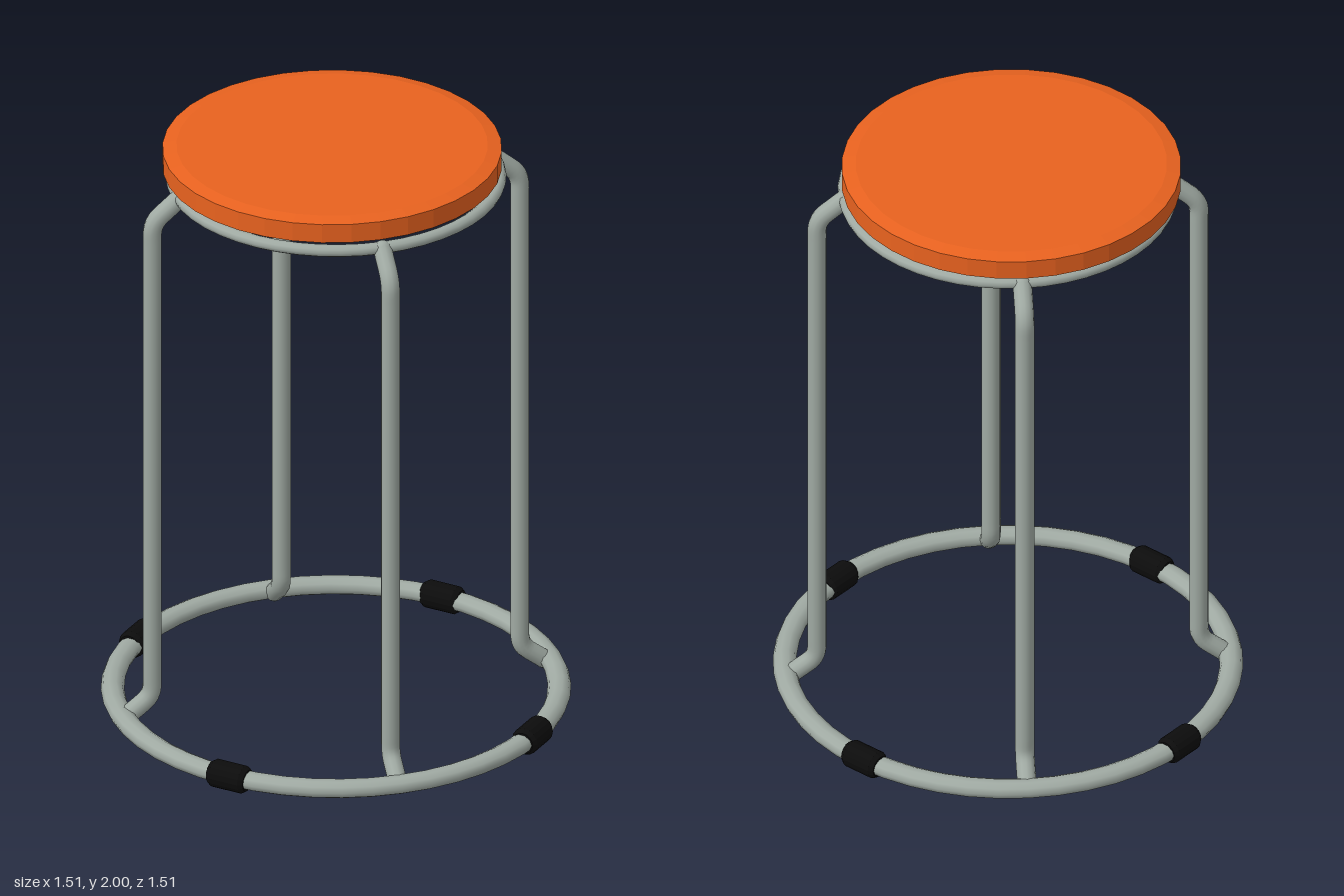
import * as THREE from 'three';

export function createModel() {
  const model = new THREE.Group();
  const orange = new THREE.MeshStandardMaterial({ color: 0xe8621f, flatShading: true });
  const steel = new THREE.MeshStandardMaterial({ color: 0xa0aaa3 });
  const rubber = new THREE.MeshStandardMaterial({ color: 0x0c0c0c });

  const add = (name, geometry, material, parent = model) => {
    const mesh = new THREE.Mesh(geometry, material);
    mesh.name = name;
    parent.add(mesh);
    return mesh;
  };
  const lathe = (points, segments) =>
    new THREE.LatheGeometry(points.map(([x, y]) => new THREE.Vector2(x, y)), segments);

  // Round seat with a shallow bevel, sitting slightly off centre
  const seat = add('seat', lathe([[0, 1.925], [0.545, 1.925], [0.545, 1.99], [0.5, 2], [0, 2]], 36), orange);
  seat.position.set(-0.01, 0, -0.01);

  // Ring under the seat and wider ring on the floor
  const ring = (name, radius, tube, height, y) => {
    const geometry = new THREE.TorusGeometry(radius, tube, 10, 48);
    geometry.rotateX(Math.PI / 2);
    geometry.scale(1, height / tube, 1);
    add(name, geometry, steel).position.y = y;
  };
  ring('seatRing', 0.525, 0.022, 0.02, 1.89);
  ring('baseRing', 0.717, 0.038, 0.03, 0.05);

  // Leg centre line: straight runs joined by rounded bends
  const v = (x, y) => new THREE.Vector3(x, y, 0);
  const path = new THREE.CurvePath();
  path.add(new THREE.LineCurve3(v(0.525, 1.885), v(0.585, 1.835)));
  path.add(new THREE.QuadraticBezierCurve3(v(0.585, 1.835), v(0.615, 1.81), v(0.615, 1.77)));
  path.add(new THREE.LineCurve3(v(0.615, 1.77), v(0.615, 0.15)));
  path.add(new THREE.QuadraticBezierCurve3(v(0.615, 0.15), v(0.615, 0.11), v(0.645, 0.088)));
  path.add(new THREE.LineCurve3(v(0.645, 0.088), v(0.695, 0.05)));
  const points = path.curves.flatMap((c) =>
    c instanceof THREE.LineCurve3 ? [c.getPoint(0.02), c.getPoint(0.98)] : c.getPoints(4));
  const legCurve = new THREE.CatmullRomCurve3(points, false, 'centripetal');
  const legGeometry = new THREE.TubeGeometry(legCurve, 120, 0.031, 12);
  const endGeometry = new THREE.SphereGeometry(0.031, 12, 8);

  // Barrel-shaped rubber sleeve, axis along y
  const sleeveGeometry = lathe(
    [[0, -0.067], [0.036, -0.067], [0.046, -0.052], [0.046, 0.052], [0.036, 0.067], [0, 0.067]], 16);
  const sleeveMaterial = rubber.clone();
  sleeveMaterial.flatShading = true;

  for (let i = 0; i < 4; i++) {
    const leg = new THREE.Group();
    leg.name = 'leg';
    leg.rotation.y = (i * Math.PI) / 2;
    add('legTube', legGeometry, steel, leg);
    add('footEnd', endGeometry, steel, leg).position.set(0.695, 0.05, 0);
    add('topEnd', endGeometry, steel, leg).position.set(0.526, 1.884, 0);
    model.add(leg);

    // Sleeves wrap the base ring midway between the legs
    const angle = Math.PI / 4 + (i * Math.PI) / 2;
    const sleeve = add('rubberSleeve', sleeveGeometry, sleeveMaterial);
    sleeve.position.set(0.717 * Math.cos(angle), 0.05, 0.717 * Math.sin(angle));
    sleeve.rotation.set(Math.PI / 2, 0, angle, 'XYZ');
  }
  return model;
}
